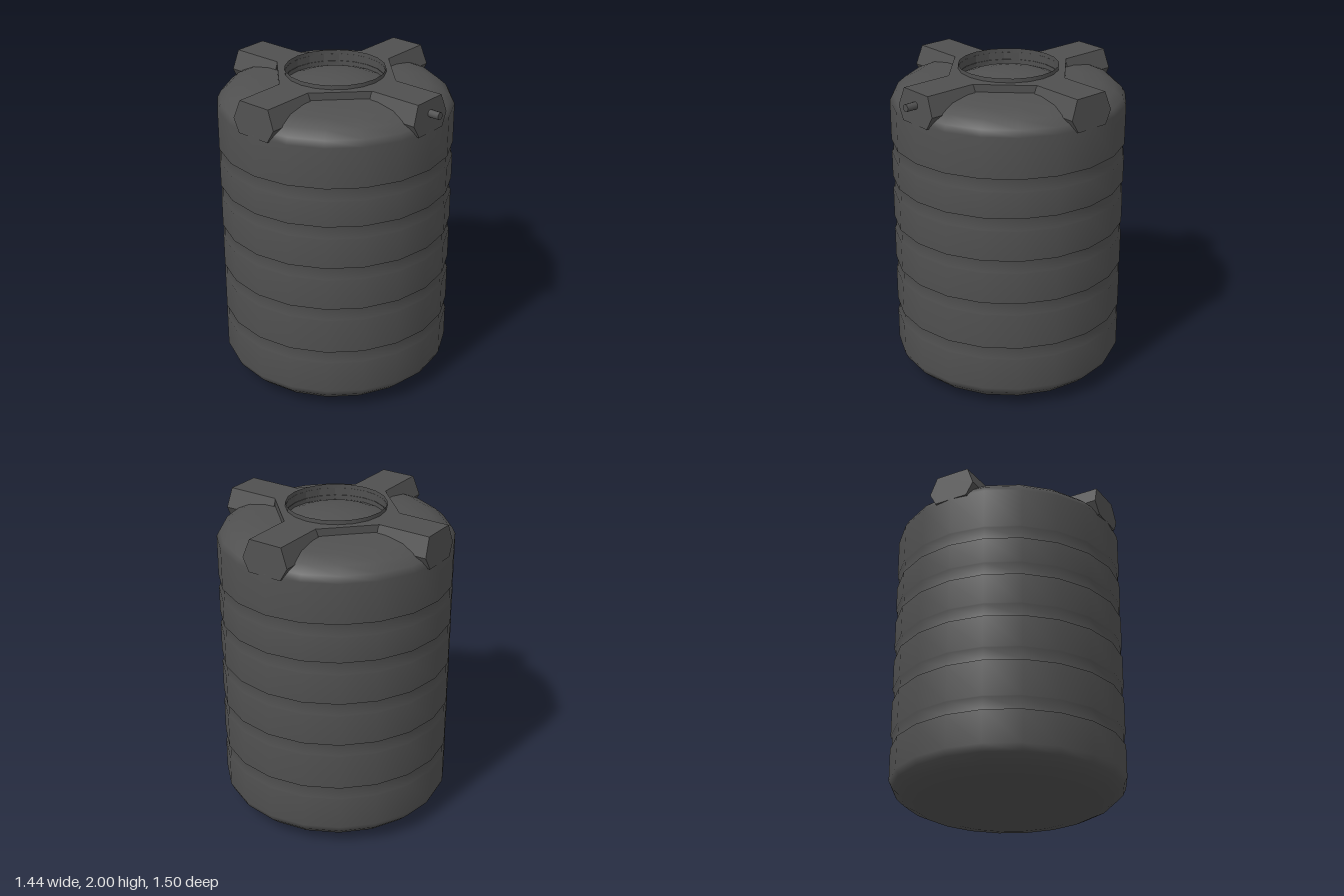
import * as THREE from 'three';

const SIDES = 20;

export function createModel() {
  const model = new THREE.Group();
  const plastic = new THREE.MeshStandardMaterial({ color: 0x505050, side: THREE.DoubleSide });
  plastic.name = 'darkGreyPlastic';

  const tank = new THREE.Group();
  tank.name = 'tank';
  tank.position.z = -0.03;
  model.add(tank);

  const add = (name, geometry) => {
    const mesh = new THREE.Mesh(geometry, plastic);
    mesh.name = name;
    tank.add(mesh);
    return mesh;
  };
  const lathe = (points) =>
    new THREE.LatheGeometry(points.map(([r, y]) => new THREE.Vector2(r, y)), SIDES);

  // Ribbed body: rounded base, five shallow grooves, rounded shoulder
  const profile = [[0, 0], [0.46, 0], [0.57, 0.022], [0.65, 0.06], [0.7, 0.108], [0.72, 0.15]];
  for (const y of [0.395, 0.7, 0.98, 1.253, 1.497]) {
    profile.push([0.72, y - 0.042], [0.71, y - 0.04], [0.71, y + 0.04], [0.72, y + 0.042]);
  }
  profile.push([0.72, 1.79], [0.7, 1.828], [0.65, 1.872], [0.57, 1.908], [0.45, 1.928], [0.3, 1.93]);
  add('body', lathe(profile));

  // Raised eight-cornered plate around the opening
  const a = 0.11, b = 0.375;
  const outline = new THREE.Shape(
    [[a, b], [-a, b], [-b, a], [-b, -a], [-a, -b], [a, -b], [b, -a], [b, a]]
      .map(([x, y]) => new THREE.Vector2(x, y)));
  const opening = [];
  for (let i = 0; i < SIDES; i++) {
    const t = (-i / SIDES) * Math.PI * 2;
    opening.push(new THREE.Vector2(0.304 * Math.cos(t), 0.304 * Math.sin(t)));
  }
  outline.holes.push(new THREE.Path(opening));
  const plate = new THREE.ExtrudeGeometry(outline, { depth: 0.06, bevelEnabled: false });
  plate.rotateX(-Math.PI / 2).translate(0, 1.915, 0);
  add('topPlate', plate);

  // Four arms with a six-sided section and a slightly leaning end
  const section = new THREE.Shape(
    [[-0.11, 1.975], [-0.155, 1.86], [-0.11, 1.78], [0.11, 1.78], [0.155, 1.86], [0.11, 1.975]]
      .map(([x, y]) => new THREE.Vector2(x, y)));
  const arm = new THREE.ExtrudeGeometry(section, { depth: 0.34, bevelEnabled: false });
  arm.translate(0, 0, 0.37);
  const p = arm.attributes.position;
  for (let i = 0; i < p.count; i++) {
    if (p.getZ(i) > 0.5) p.setZ(i, 0.718 - (p.getY(i) - 1.78) * 0.07);
  }
  arm.computeVertexNormals();
  for (let i = 0; i < 4; i++) add('arm', arm).rotation.y = (i * Math.PI) / 2;

  // Thin open rim with a shallow domed lid sunk inside it
  add('lidRim', lathe([[0.305, 1.9], [0.305, 2]]));
  add('lid', lathe([[0.305, 1.9], [0.24, 1.924], [0.16, 1.942], [0.08, 1.952], [0, 1.955]]));

  // Short pipe on the front arm
  const pipe = new THREE.CylinderGeometry(0.023, 0.023, 0.1, 10);
  pipe.rotateX(Math.PI / 2).translate(0, 1.895, 0.73);
  add('inletPipe', pipe);

  return model;
}
